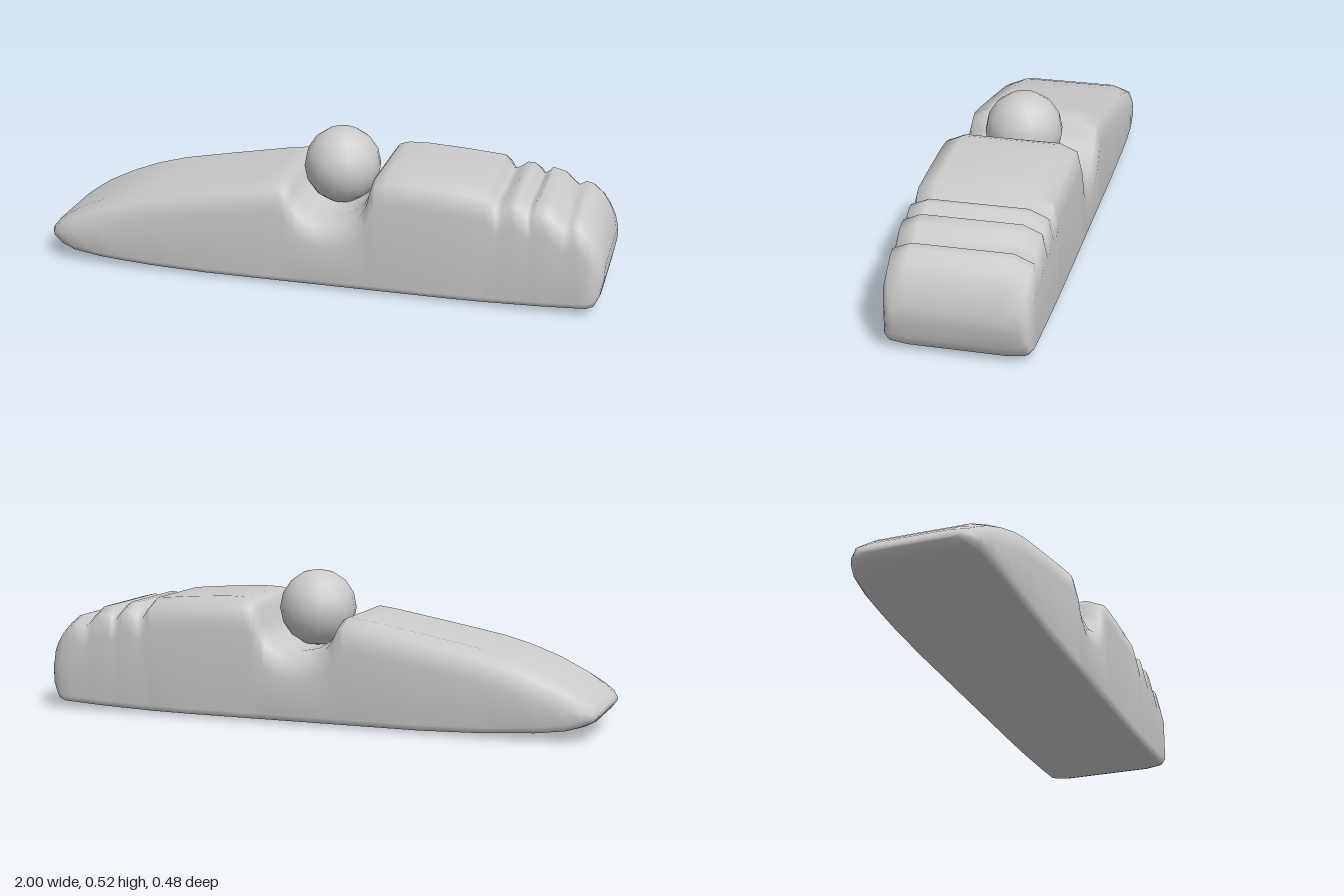
import * as THREE from 'three';

// Linear lookup in a list of [x, value] pairs
function sample(table, x) {
  for (let i = 1; i < table.length; i++) {
    const [x0, v0] = table[i - 1], [x1, v1] = table[i];
    if (x <= x1) return v0 + (v1 - v0) * (x - x0) / (x1 - x0);
  }
  return table[table.length - 1][1];
}

// Upper outline: nose, cockpit dip, rear deck, three ridges, tail
const topLine = [
  [-1, 0.1], [-0.985, 0.12], [-0.95, 0.145], [-0.9, 0.177], [-0.8, 0.225], [-0.7, 0.262],
  [-0.6, 0.29], [-0.4, 0.328], [-0.2, 0.364], [-0.13, 0.374], [-0.107, 0.362], [-0.09, 0.325],
  [-0.065, 0.29], [-0.02, 0.26], [0.045, 0.248], [0.11, 0.262], [0.16, 0.295], [0.185, 0.34],
  [0.198, 0.395], [0.215, 0.417], [0.25, 0.427], [0.32, 0.429], [0.46, 0.421], [0.595, 0.41],
  [0.61, 0.395], [0.63, 0.364], [0.65, 0.37], [0.675, 0.39], [0.7, 0.39], [0.72, 0.375],
  [0.735, 0.355], [0.75, 0.362], [0.765, 0.379], [0.81, 0.368], [0.835, 0.343], [0.86, 0.323],
  [0.885, 0.338], [0.91, 0.331], [0.945, 0.3], [0.97, 0.265], [0.988, 0.225], [1, 0.175],
];
const bottomLine = [
  [-1, 0.082], [-0.985, 0.062], [-0.93, 0.036], [-0.85, 0.022], [-0.6, 0.006], [-0.4, 0],
  [0.55, 0], [0.8, 0.008], [0.96, 0.017], [0.975, 0.028], [0.988, 0.06], [1, 0.12],
];
const halfWidth = [
  [-1, 0.165], [-0.985, 0.192], [-0.95, 0.217], [-0.9, 0.23], [-0.8, 0.239], [-0.7, 0.242],
  [0.945, 0.242], [0.97, 0.235], [0.988, 0.225], [1, 0.205],
];

// Rounded box section at x, running over the top from +z to -z and back underneath
function section(x) {
  const t = sample(topLine, x), b = sample(bottomLine, x), w = sample(halfWidth, x);
  const d = Math.min(0.1, (t - b) * 0.45), r = Math.min(0.03, (t - b) * 0.3);
  const half = [
    [0.68, t], [0.93, t - 0.26 * d], [1, t - d],
    [1, b + r], [0.93, b + 0.28 * r], [0.68, b],
  ];
  const right = half.map(([k, y]) => [x, y, -k * w]);
  const left = half.map(([k, y]) => [x, y, k * w]).reverse();
  return [...right, ...left];
}

function bodyGeometry() {
  const stations = topLine.map((p) => p[0]);
  const rings = stations.map(section);
  const n = rings[0].length, last = (rings.length - 1) * n;
  const points = rings.flat(), index = [];
  for (let s = 0; s < rings.length - 1; s++) {
    for (let i = 0; i < n; i++) {
      const a = s * n + i, c = s * n + (i + 1) % n;
      index.push(a, a + n, c, c, a + n, c + n);
    }
  }
  // End caps
  const nose = points.push([-1, 0.091, 0]) - 1;
  const tail = points.push([1, 0.148, 0]) - 1;
  for (let i = 0; i < n; i++) {
    const j = (i + 1) % n;
    index.push(nose, i, j, tail, last + j, last + i);
  }
  const geometry = new THREE.BufferGeometry();
  geometry.setAttribute('position', new THREE.Float32BufferAttribute(points.flat(), 3));
  geometry.setIndex(index);
  geometry.computeVertexNormals();
  return geometry;
}

export function createModel() {
  const model = new THREE.Group();
  const material = new THREE.MeshStandardMaterial({ color: 0xcccccc });

  const body = new THREE.Mesh(bodyGeometry(), material);
  body.name = 'carBody';

  // Ball-shaped driver head resting in the dip
  const head = new THREE.Mesh(new THREE.SphereGeometry(0.136, 16, 8), material);
  head.name = 'driverHead';
  head.position.set(0.045, 0.381, 0);

  model.add(body, head);
  return model;
}
